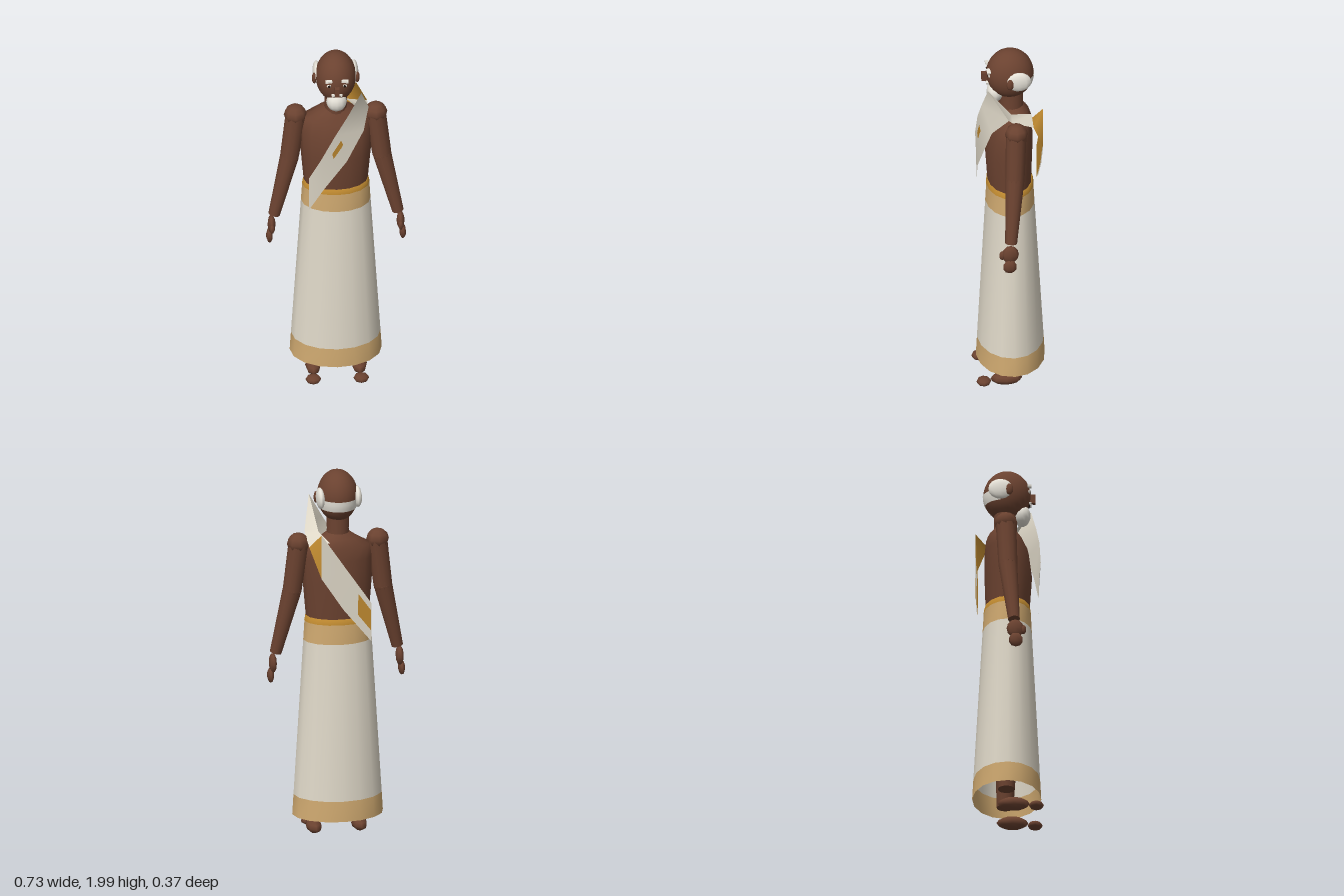
import * as THREE from 'three';

const mat = (name, color) => {
  const m = new THREE.MeshStandardMaterial({ color, side: THREE.DoubleSide });
  m.name = name;
  return m;
};

export function createModel() {
  const skin = mat('brown skin', 0x6b4230);
  const cloth = mat('off-white cloth', 0xe0d9c9);
  const tan = mat('tan border', 0xcfa970);
  const gold = mat('gold trim', 0xc08a30);
  const hair = mat('white hair', 0xe8e4da);
  const dark = mat('dark eyes', 0x20140f);
  const model = new THREE.Group();

  const add = (name, geo, material, pos = [0, 0, 0], scale = [1, 1, 1]) => {
    const m = new THREE.Mesh(geo, material);
    m.name = name;
    m.position.set(...pos);
    m.scale.set(...scale);
    model.add(m);
    return m;
  };
  const ball = (name, material, pos, radii, w = 12, h = 8) =>
    add(name, new THREE.SphereGeometry(1, w, h), material, pos, radii);

  // Tapered limb between two points
  const limb = (name, a, b, ra, rb) => {
    const p = new THREE.Vector3(...a), q = new THREE.Vector3(...b);
    const d = q.clone().sub(p);
    const m = add(name, new THREE.CylinderGeometry(rb, ra, d.length(), 12), skin);
    m.position.copy(p).addScaledVector(d, 0.5);
    m.quaternion.setFromUnitVectors(new THREE.Vector3(0, 1, 0), d.normalize());
  };

  // Smooth skin through elliptical sections [y, rx, rz, cz], from bottom to top
  const loft = (name, sections, material, n = 16) => {
    const pos = [], idx = [];
    sections.forEach(([y, rx, rz, cz]) => {
      for (let i = 0; i < n; i++) {
        const a = (i / n) * Math.PI * 2;
        pos.push(Math.sin(a) * rx, y, cz + Math.cos(a) * rz);
      }
    });
    for (let s = 0; s < sections.length - 1; s++) {
      for (let i = 0; i < n; i++) {
        const a = s * n + i, b = s * n + (i + 1) % n;
        idx.push(a, b, b + n, a, b + n, a + n);
      }
    }
    const g = new THREE.BufferGeometry();
    g.setAttribute('position', new THREE.Float32BufferAttribute(pos, 3));
    g.setIndex(idx);
    g.computeVertexNormals();
    return add(name, g, material);
  };

  // Cloth strip through pairs of edge points; t0..t1 picks part of its width
  const mix = (a, b, t) => a.map((v, i) => v + (b[i] - v) * t);
  const mixPair = (p, q, t) => [mix(p[0], q[0], t), mix(p[1], q[1], t)];
  const ribbon = (name, pairs, material, t0 = 0, t1 = 1, dz = 0) => {
    const pos = [], idx = [];
    pairs.forEach(([a, b], i) => {
      [t0, t1].forEach(t => {
        const p = mix(a, b, t);
        pos.push(p[0], p[1], p[2] + dz);
      });
      if (i) {
        const k = i * 2;
        idx.push(k - 2, k - 1, k, k - 1, k + 1, k);
      }
    });
    const g = new THREE.BufferGeometry();
    g.setAttribute('position', new THREE.Float32BufferAttribute(pos, 3));
    g.setIndex(idx);
    g.computeVertexNormals();
    return add(name, g, material);
  };

  // Torso and neck
  loft('torso', [
    [1.1, 0.16, 0.11, 0], [1.22, 0.168, 0.115, 0], [1.4, 0.183, 0.124, 0.003],
    [1.53, 0.185, 0.115, -0.005], [1.6, 0.172, 0.095, -0.018],
    [1.64, 0.1, 0.075, -0.02], [1.67, 0.055, 0.055, -0.015],
  ], skin);
  loft('neck', [[1.6, 0.066, 0.066, -0.012], [1.68, 0.058, 0.06, -0.012], [1.78, 0.06, 0.062, -0.01]], skin);

  // Long wrapped skirt with borders
  const skirtAt = y => {
    const t = (y - 0.125) / 1.075;
    return [y, 0.24 - 0.066 * t, 0.18 - 0.058 * t, -0.005 + 0.003 * t];
  };
  loft('skirt', [skirtAt(0.235), skirtAt(1.08)], cloth);
  loft('hemBorder', [skirtAt(0.125), skirtAt(0.235)], tan);
  loft('waistBorder', [skirtAt(1.08), skirtAt(1.19)], tan);
  loft('waistTrim', [[1.185, 0.176, 0.124, -0.002], [1.215, 0.171, 0.12, -0.002], [1.213, 0.16, 0.11, -0.002]], gold);

  // Arms, hands, legs and feet on both sides
  for (const s of [-1, 1]) {
    ball('shoulder', skin, [s * 0.21, 1.615, -0.015], [0.06, 0.055, 0.06], 8, 6);
    limb('upperArm', [s * 0.207, 1.62, -0.015], [s * 0.24, 1.36, -0.005], 0.054, 0.05);
    ball('elbow', skin, [s * 0.24, 1.36, -0.005], [0.05, 0.05, 0.05]);
    limb('forearm', [s * 0.24, 1.36, -0.005], [s * 0.322, 1.01, 0.024], 0.05, 0.031);
    ball('palm', skin, [s * 0.336, 0.95, 0.03], [0.021, 0.052, 0.045], 8, 6);
    ball('fingers', skin, [s * 0.347, 0.882, 0.033], [0.018, 0.04, 0.038], 7, 5);
    ball('thumb', skin, [s * 0.335, 0.945, 0.072], [0.014, 0.026, 0.017], 6, 5);

    limb('leg', [s * 0.115, 0.13, -0.01], [s * 0.09, 1.1, 0], 0.045, 0.07);
    ball('foot', skin, [s * 0.12, 0.045, 0.028], [0.041, 0.035, 0.083], 8, 6);
    ball('toes', skin, [s * 0.125, 0.035, 0.146], [0.041, 0.022, 0.039], 8, 6);
  }

  // Head and face
  ball('head', skin, [0, 1.862, -0.003], [0.106, 0.138, 0.124], 24, 16);
  const box = (name, w, h, d, material, pos) => add(name, new THREE.BoxGeometry(w, h, d), material, pos);
  box('nose', 0.024, 0.048, 0.035, skin, [0, 1.848, 0.128]);
  box('mouth', 0.036, 0.007, 0.008, dark, [0, 1.808, 0.111]);
  ball('beard', hair, [0, 1.752, 0.075], [0.054, 0.058, 0.045], 12, 8);
  for (const s of [-1, 1]) {
    box('eyebrow', 0.036, 0.01, 0.02, hair, [s * 0.042, 1.903, 0.112]).rotation.z = -s * 0.15;
    ball('eye', hair, [s * 0.04, 1.873, 0.11], [0.014, 0.009, 0.006], 10, 6);
    ball('pupil', dark, [s * 0.04, 1.873, 0.115], [0.007, 0.007, 0.004], 8, 6);
    box('moustache', 0.026, 0.01, 0.014, hair, [s * 0.015, 1.82, 0.117]).rotation.z = -s * 0.25;
    ball('sideHair', hair, [s * 0.098, 1.862, -0.04], [0.022, 0.056, 0.066], 10, 8);
    ball('ear', skin, [s * 0.112, 1.855, 0.006], [0.013, 0.032, 0.02], 8, 6);
  }
  // Fringe of hair round the back of the head
  const fringe = new THREE.SphereGeometry(1, 14, 3, Math.PI * 0.1, Math.PI * 0.8, 1.58, 0.42);
  fringe.rotateY(Math.PI);
  fringe.rotateY(0);
  const back = fringe.attributes.position;
  for (let i = 0; i < back.count; i++) back.setZ(i, -Math.abs(back.getZ(i)));
  fringe.computeVertexNormals();
  add('backHair', fringe, hair, [0, 1.862, -0.003], [0.109, 0.141, 0.127]);

  // Sash: front fall, shoulder bridge and back fall
  const front = [
    [[0.127, 1.835, 0.125], [0.17, 1.67, 0.02]],
    [[0.055, 1.705, 0.15], [0.14, 1.58, 0.105]],
    [[-0.01, 1.595, 0.165], [0.05, 1.41, 0.14]],
    [[-0.085, 1.447, 0.17], [-0.07, 1.25, 0.158]],
    [[-0.148, 1.325, 0.16], [-0.148, 1.12, 0.155]],
  ];
  ribbon('sashFront', front, cloth);
  ribbon('sashFrontStripe', [mixPair(front[1], front[2], 0.85), front[2], mixPair(front[2], front[3], 0.4)],
    gold, 0.3, 0.48, 0.004);
  ribbon('sashShoulder', [
    front[0],
    [[0.1, 1.665, 0], [0.17, 1.655, 0]],
    [[0.06, 1.635, -0.11], [0.17, 1.62, -0.11]],
  ], cloth);
  const rear = [
    [[0.115, 1.7, -0.165], [0.115, 1.46, -0.165]],
    [[-0.01, 1.515, -0.167], [0.0, 1.285, -0.167]],
    [[-0.15, 1.31, -0.163], [-0.15, 1.1, -0.163]],
  ];
  ribbon('sashBack', rear, cloth);
  ribbon('sashBackLining', rear, gold, 0.02, 0.98, 0.004);
  ribbon('sashBackPatch', [mixPair(rear[1], rear[2], 0.5), mixPair(rear[1], rear[2], 0.97)], gold, 0.2, 0.72, -0.004);
  ribbon('sashBackFold', [
    [[0.05, 1.6, -0.11], [0.05, 1.6, -0.11]],
    [[0.115, 1.7, -0.165], [0.17, 1.62, -0.11]],
    [[0.115, 1.46, -0.165], [0.115, 1.46, -0.165]],
  ], gold);

  return model;
}
